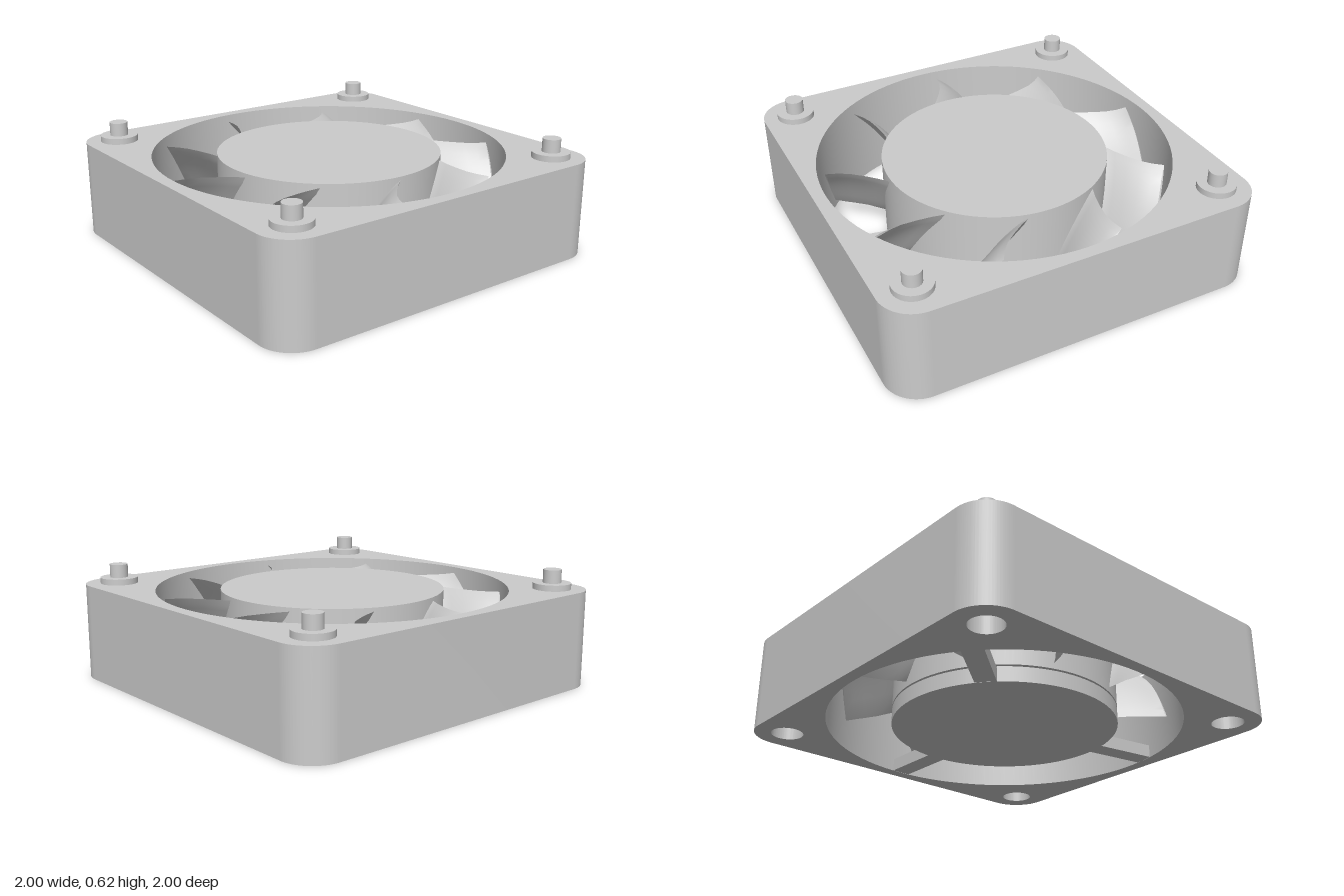
import * as THREE from 'three';
import { toCreasedNormals } from 'three/addons/utils/BufferGeometryUtils.js';

const H = 0.515;          // frame height
const BORE = 0.935;       // air opening radius
const HUB = 0.595;        // hub radius
const PEG = 0.825;        // corner peg offset
const BLADES = 9;
const rad = THREE.MathUtils.degToRad;
const material = new THREE.MeshStandardMaterial({ color: 0xcccccc });

function add(parent, name, geometry, x = 0, y = 0, z = 0) {
  const mesh = new THREE.Mesh(geometry, material);
  mesh.name = name;
  mesh.position.set(x, y, z);
  parent.add(mesh);
  return mesh;
}

// Upright cylinder standing on y
function disc(parent, name, r, y0, y1, x = 0, z = 0, seg = 40) {
  return add(parent, name, new THREE.CylinderGeometry(r, r, y1 - y0, seg), x, (y0 + y1) / 2, z);
}

// Rounded square with the air opening and four corner sockets
function frameGeometry() {
  const s = new THREE.Shape(), c = 1 - 0.18;
  [[c, c], [-c, c], [-c, -c], [c, -c]].forEach(([x, y], i) =>
    s.absarc(x, y, 0.18, i * Math.PI / 2, (i + 1) * Math.PI / 2, false));
  s.closePath();
  const hole = (x, y, r) => s.holes.push(new THREE.Path().absarc(x, y, r, 0, Math.PI * 2, true));
  hole(0, 0, BORE);
  for (const x of [-PEG, PEG]) for (const y of [-PEG, PEG]) hole(x, y, 0.085);
  const g = new THREE.ExtrudeGeometry(s, { depth: H, bevelEnabled: false, curveSegments: 48 });
  g.rotateX(-Math.PI / 2);
  return toCreasedNormals(g, 0.6);
}

// Swept, pitched blade: closed cross-sections lofted from the hub to the tip
function bladeGeometry() {
  // radius, angle of the high edge, angle of the low edge, half thickness
  const stations = [
    [0.57, -21, 7, 0.024], [0.60, -18.5, 7.7, 0.018], [0.64, -14.5, 9, 0.013],
    [0.70, -10.5, 11, 0.011], [0.77, -7.3, 12, 0.011], [0.83, -6, 12.6, 0.011],
    [0.885, -5.6, 13.2, 0.010], [0.893, -5.5, 13.2, 0],
  ];
  const N = 10, ring = 2 * N, pos = [], index = [];
  stations.forEach(([r, a0, a1, t]) => {
    for (let j = 0; j < ring; j++) {
      const top = j <= N, v = (top ? j : ring - j) / N;
      const off = (top ? 1 : -1) * t * Math.pow(Math.sin(Math.PI * v), 0.5);
      const a = rad(a0 + (a1 - a0) * v) + off * 0.75 / r;
      const y = 0.49 - 0.37 * v + 0.035 * Math.sin(Math.PI * v) + off * 0.65;
      pos.push(r * Math.sin(a), y, -r * Math.cos(a));
    }
  });
  for (let i = 0; i < stations.length - 1; i++) {
    for (let j = 0; j < ring; j++) {
      const a = i * ring + j, b = i * ring + (j + 1) % ring;
      index.push(a, b, a + ring, b, b + ring, a + ring);
    }
  }
  const g = new THREE.BufferGeometry();
  g.setAttribute('position', new THREE.Float32BufferAttribute(pos, 3));
  g.setIndex(index);
  return toCreasedNormals(g, 0.7);
}

export function createModel() {
  const model = new THREE.Group();
  model.name = 'coolingFan';

  add(model, 'frame', frameGeometry());

  // Motor base held by three flat struts
  disc(model, 'motorBase', HUB, 0, 0.08, 0, 0, 96);
  for (const deg of [0, 100, 230]) {
    const length = BORE + 0.01 - 0.55, g = new THREE.BoxGeometry(length, 0.07, 0.108);
    g.translate(0.55 + length / 2, 0.036, 0);
    add(model, 'strut', g).rotation.y = -rad(deg);
  }

  // Rotor with its ring of blades
  const rotor = new THREE.Group();
  rotor.name = 'rotor';
  model.add(rotor);
  disc(rotor, 'hub', HUB, 0.09, 0.51, 0, 0, 96);
  disc(rotor, 'shaft', 0.1, 0.07, 0.1);
  const blade = bladeGeometry();
  for (let i = 0; i < BLADES; i++) {
    add(rotor, 'blade', blade).rotation.y = -i * Math.PI * 2 / BLADES;
  }

  // Corner pegs, each a collar and a pin
  for (const x of [-PEG + 0.005, PEG - 0.005]) {
    for (const z of [-PEG, PEG]) {
      disc(model, 'pegCollar', 0.1, H - 0.005, 0.547, x, z);
      disc(model, 'pegPin', 0.048, 0.54, 0.618, x, z, 32);
    }
  }
  return model;
}
